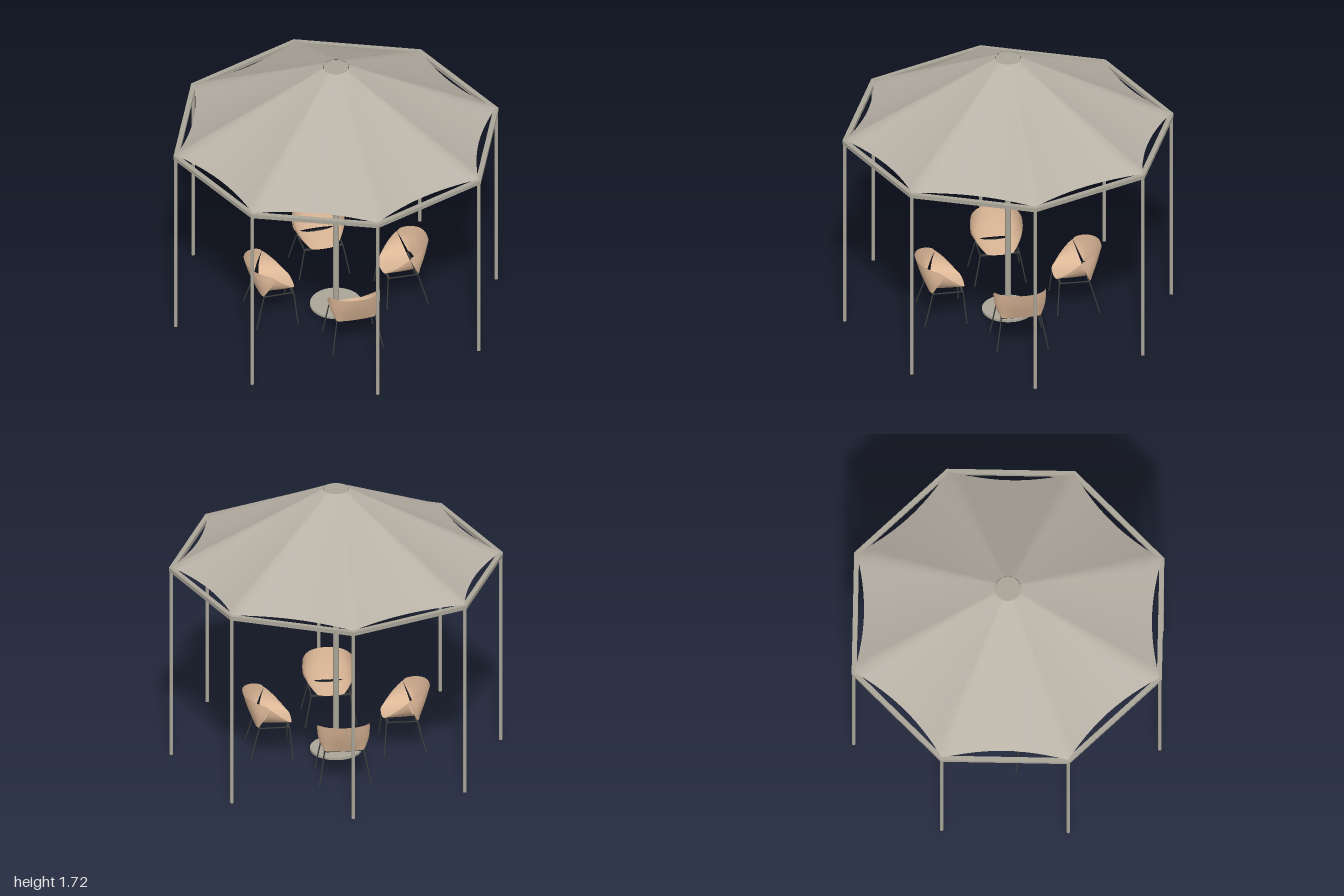
import * as THREE from 'three';

const mat = (name, color, side = THREE.FrontSide) => {
  const m = new THREE.MeshStandardMaterial({ color, side });
  m.name = name;
  return m;
};

export function createModel() {
  const fabric = mat('canopy fabric', 0xb8b1a6, THREE.DoubleSide);
  const metal = mat('frame metal', 0xaaa598);
  const shell = mat('chair shell', 0xdcb797, THREE.DoubleSide);
  const dark = mat('chair legs', 0x3a3d3b);
  const black = mat('heater panel', 0x1c1c1c);

  const model = new THREE.Group();
  model.name = 'pavilion';
  const add = (parent, name, geo, material, x = 0, y = 0, z = 0) => {
    const m = new THREE.Mesh(geo, material);
    m.name = name;
    m.position.set(x, y, z);
    parent.add(m);
    return m;
  };
  const disc = (name, r, y0, y1) =>
    add(model, name, new THREE.CylinderGeometry(r, r, y1 - y0, 40), metal, 0, (y0 + y1) / 2, 0);

  // Smooth grid surface from a rule f(u, v) -> [x, y, z]
  const surface = (nu, nv, f, closed = false) => {
    const pos = [], idx = [], cols = closed ? nu : nu + 1;
    for (let j = 0; j <= nv; j++)
      for (let i = 0; i < cols; i++) pos.push(...f(i / nu, j / nv));
    for (let j = 0; j < nv; j++)
      for (let i = 0; i < nu; i++) {
        const a = j * cols + i, b = j * cols + (i + 1) % cols;
        idx.push(a, a + cols, b, b, a + cols, b + cols);
      }
    const g = new THREE.BufferGeometry();
    g.setAttribute('position', new THREE.Float32BufferAttribute(pos, 3));
    g.setIndex(idx);
    g.computeVertexNormals();
    return g;
  };

  // Central pole with base and hubs
  disc('base', 0.155, 0, 0.014);
  disc('pole', 0.017, 0.01, 1.7);
  disc('lowerHub', 0.077, 1.07, 1.1);
  disc('rafterHub', 0.075, 1.222, 1.248);
  disc('topHub', 0.076, 1.69, 1.721);

  // Octagonal ring beam
  const octagon = (path, r) => {
    for (let i = 0; i < 8; i++) {
      const a = i * Math.PI / 4;
      path[i ? 'lineTo' : 'moveTo'](r * Math.cos(a), r * Math.sin(a));
    }
    path.closePath();
    return path;
  };
  const ring = octagon(new THREE.Shape(), 1);
  ring.holes.push(octagon(new THREE.Path(), 0.968));
  const ringGeo = new THREE.ExtrudeGeometry(ring, { depth: 0.025, bevelEnabled: false });
  ringGeo.rotateX(-Math.PI / 2);
  add(model, 'ringBeam', ringGeo, metal, 0, 1.225, 0);

  // Posts and rafters
  for (let i = 0; i < 8; i++) {
    const arm = new THREE.Group();
    arm.name = 'frameArm';
    arm.rotation.y = i * Math.PI / 4;
    add(arm, 'post', new THREE.CylinderGeometry(0.011, 0.011, 1.215, 14), metal, 0.986, 0.6225, 0);
    add(arm, 'rafter', new THREE.BoxGeometry(0.95, 0.018, 0.018), metal, 0.5, 1.237, 0);
    model.add(arm);
  }

  // Canopy with eight scalloped edges
  const canopy = surface(96, 8, (u, v) => {
    const t = u * 8, k = Math.floor(t), s = t - k;
    const a = k * Math.PI / 4, b = a + Math.PI / 4;
    const sag = 0.982 * (1 - 0.055 * 4 * s * (1 - s));
    const ex = sag * THREE.MathUtils.lerp(Math.cos(a), Math.cos(b), s);
    const ez = sag * THREE.MathUtils.lerp(Math.sin(a), Math.sin(b), s);
    const r = Math.hypot(ex, ez), q = (0.077 + (r - 0.077) * v) / r;
    return [ex * q, 1.721 - 0.469 * v, ez * q];
  }, true);
  // Wind the fabric so its outer face points up
  const order = canopy.index.array;
  for (let i = 0; i < order.length; i += 3) [order[i], order[i + 1]] = [order[i + 1], order[i]];
  canopy.computeVertexNormals();
  add(model, 'canopy', canopy, fabric);

  // Chair facing +z: wrapped back, seat sling and thin legs
  const backGeo = surface(32, 8, (u, v) => {
    const p = (u - 0.5) * Math.PI, c = Math.max(0, Math.cos(p)), s = Math.sin(p);
    const bulge = 0.012 * Math.sin(v * Math.PI);
    const w = Math.sign(s) * Math.abs(s) ** 0.85;
    return [
      w * (THREE.MathUtils.lerp(0.12, 0.157, v) + bulge),
      THREE.MathUtils.lerp(0.222, 0.355 + 0.05 * Math.sqrt(c), v),
      THREE.MathUtils.lerp(-0.055 - 0.02 * c, 0.005 - 0.145 * c, v) - bulge * 0.4 * c,
    ];
  });
  const slingGeo = surface(32, 12, (u, v) => {
    const p = (u - 0.5) * Math.PI, s = Math.sin(p), lift = 1 - Math.cos(p);
    const x = THREE.MathUtils.lerp(0.157, 0.085, v * v);
    const rimY = THREE.MathUtils.lerp(0.355, 0.232, v ** 1.1);
    return [
      x * Math.sign(s) * Math.abs(s) ** 0.8,
      THREE.MathUtils.lerp(0.222, rimY, lift),
      THREE.MathUtils.lerp(-0.04 + 0.19 * v, 0.005 + 0.13 * v, lift),
    ];
  });
  const rod = (...pts) => {
    const path = new THREE.CurvePath();
    const v = pts.map(p => new THREE.Vector3(...p));
    for (let i = 1; i < v.length; i++) path.add(new THREE.LineCurve3(v[i - 1], v[i]));
    return new THREE.TubeGeometry(path, 12 * (v.length - 1), 0.0042, 6);
  };
  const makeChair = () => {
    const chair = new THREE.Group();
    chair.name = 'chair';
    add(chair, 'backrest', backGeo, shell);
    add(chair, 'seat', slingGeo, shell);
    for (const s of [-1, 1]) {
      add(chair, 'sideFrame', rod(
        [s * 0.155, 0.016, -0.108], [s * 0.118, 0.214, -0.053],
        [s * 0.118, 0.216, 0.13], [s * 0.155, 0.016, 0.146]), dark);
    }
    for (const z of [-0.05, 0.125])
      add(chair, 'crossBar', new THREE.BoxGeometry(0.236, 0.008, 0.012), dark, 0, 0.215, z);
    return chair;
  };

  // Four chairs and four heaters around the pole
  for (let i = 0; i < 4; i++) {
    const quarter = new THREE.Group();
    quarter.name = 'quarter';
    quarter.rotation.y = i * Math.PI / 2;
    const chair = makeChair();
    chair.position.z = -0.42;
    quarter.add(chair);
    const heater = new THREE.Group();
    heater.name = 'heater';
    heater.position.set(0, 1.2, -0.33);
    add(heater, 'heaterHousing', new THREE.BoxGeometry(0.045, 0.022, 0.385), metal, 0, 0.017, 0);
    add(heater, 'heaterPanel', new THREE.BoxGeometry(0.05, 0.008, 0.39), black, 0, 0.003, 0);
    for (const z of [-0.12, 0.12])
      add(heater, 'heaterBracket', new THREE.BoxGeometry(0.03, 0.03, 0.02), black, 0, 0.036, z);
    quarter.add(heater);
    model.add(quarter);
  }
  return model;
}
